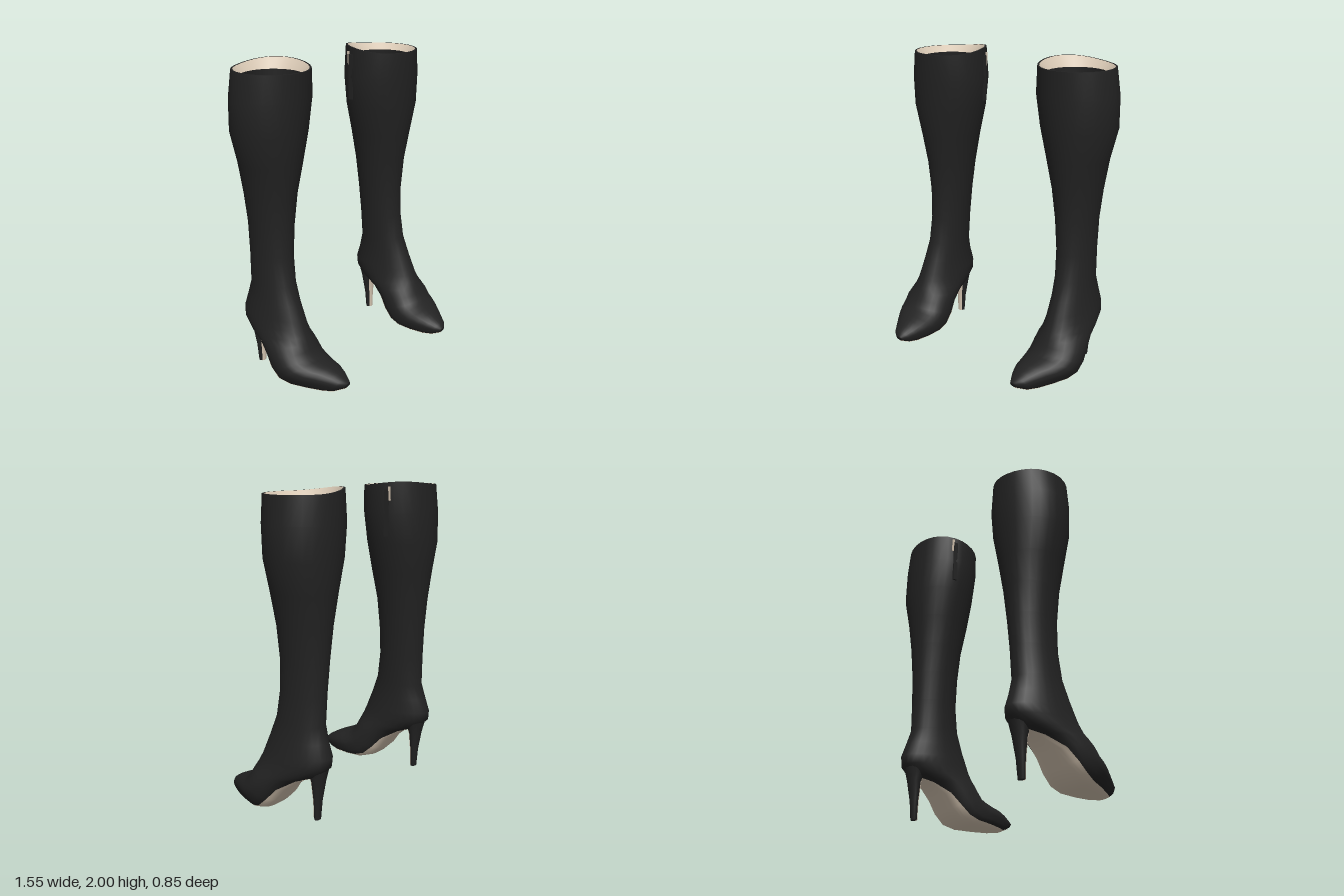
import * as THREE from 'three';

const black = new THREE.MeshStandardMaterial({ color: 0x222222 });
black.name = 'black leather';
const beige = new THREE.MeshStandardMaterial({ color: 0xd6c6b2, side: THREE.DoubleSide });
beige.name = 'beige lining';

// Each ring: front (or top) y, z; back (or bottom) y, z; x from, x to; squareness of the underside
const BOOT = [
  [1.967, 0.063, 1.972, -0.41, 0.263, 0.75, 1],
  [1.8, 0.06, 1.8, -0.42, 0.25, 0.775, 1],
  [1.6, 0.047, 1.6, -0.42, 0.28, 0.773, 1],
  [1.4, 0.02, 1.4, -0.395, 0.33, 0.72, 1],
  [1.2, -0.015, 1.2, -0.37, 0.37, 0.685, 1],
  [1.0, -0.03, 1.0, -0.355, 0.4, 0.66, 1],
  [0.8, -0.03, 0.8, -0.345, 0.42, 0.655, 1],
  [0.63, -0.005, 0.6, -0.34, 0.43, 0.66, 1],
  [0.5, 0.045, 0.5, -0.37, 0.43, 0.675, 1],
  [0.42, 0.08, 0.41, -0.4, 0.42, 0.69, 1],
  [0.37, 0.1, 0.35, -0.393, 0.415, 0.7, 1],
  [0.32, 0.125, 0.285, -0.32, 0.41, 0.71, 1],
  [0.28, 0.145, 0.25, -0.22, 0.4, 0.725, 0.95],
  [0.24, 0.165, 0.18, -0.13, 0.392, 0.742, 0.85],
  [0.2, 0.19, 0.1, -0.07, 0.385, 0.745, 0.75],
  [0.185, 0.225, 0.035, 0, 0.383, 0.735, 0.65],
  [0.165, 0.27, 0.01, 0.08, 0.385, 0.705, 0.6],
  [0.15, 0.31, 0.006, 0.19, 0.395, 0.66, 0.6],
  [0.125, 0.36, 0.006, 0.29, 0.42, 0.61, 0.6],
  [0.1, 0.4, 0.012, 0.35, 0.445, 0.575, 0.7],
  [0.078, 0.425, 0.04, 0.41, 0.47, 0.525, 1],
];
const HEEL = [
  [0.38, -0.21, 0.38, -0.385, 0.46, 0.64, 1],
  [0.32, -0.24, 0.33, -0.372, 0.48, 0.62, 1],
  [0.25, -0.27, 0.25, -0.35, 0.497, 0.603, 1],
  [0.12, -0.28, 0.12, -0.328, 0.517, 0.583, 1],
  [0, -0.282, 0, -0.318, 0.525, 0.575, 1],
];
// Half angle of the sole patch at each ring from the arch to the toe
const SOLE = [0.2, 0.5, 0.8, 0.95, 1.0, 1.0, 0.95, 0.85, 0.65, 0.35];

// Point on a ring at angle a: 0 is the front, a quarter turn is +x; grow pushes it outwards
function ringPoint([fy, fz, by, bz, x0, x1, e], a, scale = 1, grow = 0) {
  const c = Math.cos(a), s = Math.sin(a), p = c < 0 ? e : 1;
  const u = Math.sign(c) * Math.abs(c) ** p, v = Math.sign(s) * Math.abs(s) ** p;
  const len = Math.hypot(fy - by, fz - bz) / 2;
  const k = scale + grow / len;
  return [
    (x0 + x1) / 2 + (x1 - x0) / 2 * v * scale,
    (fy + by) / 2 + (fy - by) / 2 * u * k,
    (fz + bz) / 2 + (fz - bz) / 2 * u * k,
  ];
}

// Closed ring of points
function loop(ring, scale = 1, n = 28) {
  return Array.from({ length: n }, (_, j) => ringPoint(ring, j / n * Math.PI * 2, scale));
}

// Part of a ring around angle mid, lifted slightly off the surface
function arc(ring, mid, half, n = 12) {
  return Array.from({ length: n + 1 }, (_, j) => ringPoint(ring, mid + half * (2 * j / n - 1), 1, 0.005));
}

// Raises the back inner corner of the shaft edge
function raiseRim(points, ring) {
  const cx = (ring[4] + ring[5]) / 2, cz = (ring[1] + ring[3]) / 2;
  return points.map(([x, y, z]) => {
    const t = Math.max(0, Math.cos(Math.atan2(x - cx, z - cz) + 2.2));
    return [x, y + 0.029 * t * t, z];
  });
}

// Skin over rows of points, with optional closing fan on the last row
function skin(rows, { side, closed = true, cap = false, inward = false }) {
  const pos = rows.flat().flatMap(([x, y, z]) => [x * side, y, z]);
  const n = rows[0].length, index = [];
  const flip = (side < 0) !== inward;
  const tri = (a, b, c) => index.push(...(flip ? [a, c, b] : [a, b, c]));
  for (let i = 0; i < rows.length - 1; i++) {
    for (let j = 0; j < (closed ? n : n - 1); j++) {
      const k = (j + 1) % n, a = i * n, b = a + n;
      tri(a + j, b + j, a + k);
      tri(a + k, b + j, b + k);
    }
  }
  if (cap) {
    const last = rows[rows.length - 1], base = (rows.length - 1) * n, mid = pos.length / 3;
    const sum = [0, 1, 2].map((d) => last.reduce((t, p) => t + p[d], 0) / n);
    pos.push(sum[0] * side, sum[1], sum[2]);
    for (let j = 0; j < n; j++) tri(base + j, mid, base + (j + 1) % n);
  }
  const g = new THREE.BufferGeometry();
  g.setAttribute('position', new THREE.Float32BufferAttribute(pos, 3));
  g.setIndex(index);
  g.computeVertexNormals();
  return g;
}

function makeBoot(side) {
  const boot = new THREE.Group();
  boot.name = side > 0 ? 'leftBoot' : 'rightBoot';
  const add = (name, geometry, material) => {
    const mesh = new THREE.Mesh(geometry, material);
    mesh.name = name;
    boot.add(mesh);
    return mesh;
  };

  // Shaft and foot in one skin
  const top = BOOT[0];
  const rim = raiseRim(loop(top), top);
  add('upper', skin([rim, ...BOOT.slice(1).map((r) => loop(r))], { side, cap: true }), black);

  // Edge of the opening, the sloping lining band and the dark inside
  const rimInner = raiseRim(loop(top, 0.95), top);
  const bandEnd = loop(top, 0.78).map(([x, y, z]) => [x, y - 0.04, z]);
  add('rimEdge', skin([rim, rimInner], { side, inward: true }), black);
  add('lining', skin([rimInner, bandEnd], { side, inward: true }), beige);
  const inside = [bandEnd, loop(BOOT[2], 0.82), ...BOOT.slice(3, 10).map((r) => loop(r, 0.95))];
  add('inside', skin(inside, { side, inward: true, cap: true }), black);

  // Insole seen down the shaft
  const insole = add('insole', new THREE.CylinderGeometry(1, 1, 0.006, 28), beige);
  insole.scale.set(0.11, 1, 0.14);
  insole.position.set(0.55 * side, 0.445, -0.175);
  insole.rotation.x = 0.08;

  // Sole, from the arch to the toe
  add('sole', skin(BOOT.slice(11).map((r, i) => arc(r, Math.PI, SOLE[i])), { side, closed: false }), beige);

  // Slim heel with a pale front face
  add('heel', skin(HEEL.map((r) => loop(r, 1, 16)), { side, cap: true }), black);
  add('heelFront', skin(HEEL.slice(1).map((r) => arc(r, 0, 0.7, 6)), { side, closed: false }), beige);

  // Zip flap and pull on the inner side
  const flap = add('zipFlap', new THREE.BoxGeometry(0.012, 0.3, 0.03), black);
  flap.position.set(0.262 * side, 1.8, -0.23);
  const pull = add('zipPull', new THREE.BoxGeometry(0.008, 0.09, 0.014), beige);
  pull.position.set(0.262 * side, 1.925, -0.25);
  pull.rotation.z = 0.08 * side;
  return boot;
}

export function createModel() {
  const model = new THREE.Group();
  model.name = 'heeledBoots';
  for (const side of [1, -1]) model.add(makeBoot(side));
  return model;
}
